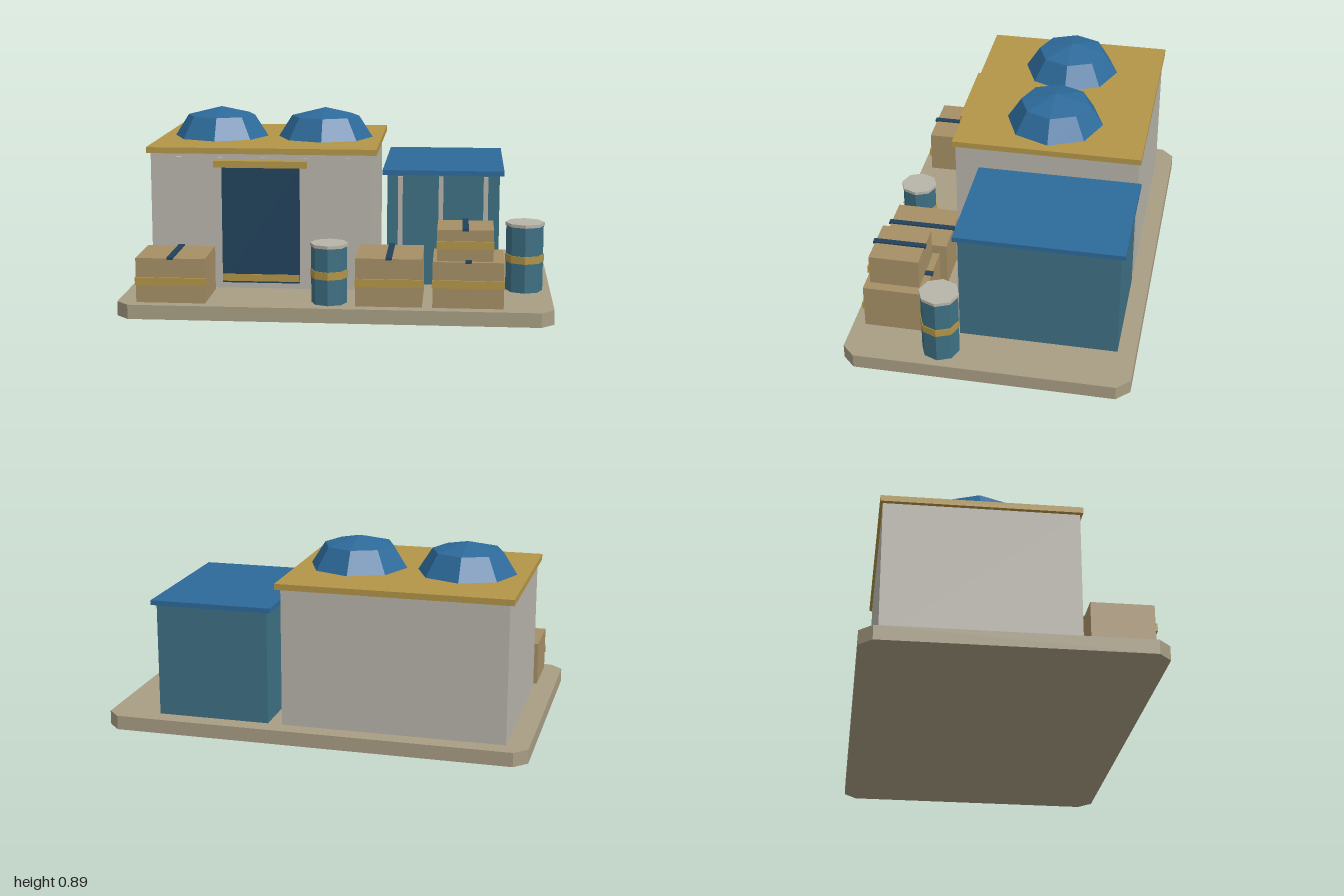
import * as THREE from 'three';

const mat = (name, color) => {
  const m = new THREE.MeshStandardMaterial({ color });
  m.name = name;
  return m;
};

export function createModel() {
  const root = new THREE.Group();
  root.name = 'depot';
  const sand = mat('sand base', 0xa89e84);
  const stone = mat('pale stone', 0xb7b4aa);
  const gold = mat('ochre gold', 0xb39547);
  const blue = mat('roof blue', 0x2d6a9a);
  const teal = mat('teal wall', 0x3e7083);
  const navy = mat('dark navy', 0x21425c);
  const wood = mat('crate tan', 0xa58f66);

  const add = (parent, name, geometry, material) => {
    const mesh = new THREE.Mesh(geometry, material);
    mesh.name = name;
    parent.add(mesh);
    return mesh;
  };
  // Box given by its min and max on each axis
  const box = (parent, name, material, x0, x1, y0, y1, z0, z1) => {
    const mesh = add(parent, name, new THREE.BoxGeometry(x1 - x0, y1 - y0, z1 - z0), material);
    mesh.position.set((x0 + x1) / 2, (y0 + y1) / 2, (z0 + z1) / 2);
    return mesh;
  };
  // Eight-sided flat-shaded frustum with corners on the axes
  const octagon = (parent, name, material, rTop, rBottom, y0, y1, capped = true) => {
    const g = new THREE.CylinderGeometry(rTop, rBottom, y1 - y0, 8, 1, !capped).toNonIndexed();
    g.computeVertexNormals();
    const mesh = add(parent, name, g, material);
    mesh.position.y = (y0 + y1) / 2;
    return mesh;
  };
  const group = (name, x, z) => {
    const g = new THREE.Group();
    g.name = name;
    g.position.set(x, 0, z);
    root.add(g);
    return g;
  };

  // Ground slab with cut corners
  const floor = 0.067, w = 1, d = 0.665, c = 0.06;
  const outline = new THREE.Shape([
    [-w + c, -d], [w - c, -d], [w, -d + c], [w, d - c],
    [w - c, d], [-w + c, d], [-w, d - c], [-w, -d + c],
  ].map(([x, y]) => new THREE.Vector2(x, y)));
  const slab = new THREE.ExtrudeGeometry(outline, { depth: floor, bevelEnabled: false });
  add(root, 'baseSlab', slab.rotateX(-Math.PI / 2), sand);

  // Main hall with roof and front pilasters
  const hall = group('mainHall', 0, 0);
  box(hall, 'hallWalls', stone, -0.895, 0.152, floor, 0.715, -0.58, 0.3);
  box(hall, 'hallRoof', gold, -0.915, 0.177, 0.715, 0.743, -0.592, 0.311);
  for (let i = 0; i < 5; i++) {
    const x = -0.758 + i * 0.2;
    box(hall, 'hallPilaster', stone, x - 0.011, x + 0.011, 0.08, 0.7, 0.298, 0.318);
  }

  // Doorway
  box(hall, 'door', navy, -0.553, -0.186, 0.1, 0.656, 0.3, 0.329);
  box(hall, 'doorLintel', gold, -0.59, -0.149, 0.655, 0.687, 0.3, 0.345);
  box(hall, 'doorSill', gold, -0.553, -0.186, 0.108, 0.142, 0.3, 0.333);

  // Faceted roof domes
  for (const x of [-0.625, -0.104]) {
    const dome = group('dome', x, -0.14);
    octagon(dome, 'domeSides', blue, 0.167, 0.234, 0.743, 0.848, false);
    octagon(dome, 'domeCap', blue, 0, 0.167, 0.848, 0.889, false);
  }

  // Side annex
  const annex = group('annex', 0, 0);
  box(annex, 'annexWalls', teal, 0.22, 0.755, floor, 0.605, -0.58, 0.158);
  box(annex, 'annexRoof', blue, 0.198, 0.776, 0.604, 0.627, -0.6, 0.178);
  for (const x of [0.283, 0.477, 0.69]) {
    box(annex, 'annexPilaster', stone, x - 0.011, x + 0.011, 0.08, 0.597, 0.156, 0.175);
  }

  // Crates: x range, y range, z range, band height
  const crates = [
    [-0.909, -0.588, floor, 0.275, 0.33, 0.614, 0.168],
    [0.1, 0.403, floor, 0.29, 0.298, 0.608, 0.178],
    [0.45, 0.772, floor, 0.28, 0.32, 0.608, 0.178],
    [0.468, 0.723, 0.28, 0.424, 0.352, 0.586, 0.354],
  ];
  for (const [x0, x1, y0, y1, z0, z1, band] of crates) {
    const crate = group('crate', 0, 0);
    const mid = (x0 + x1) / 2;
    box(crate, 'crateBody', wood, x0, x1, y0, y1, z0, z1);
    box(crate, 'crateBand', gold, x0 - 0.003, x1 + 0.003, band - 0.018, band + 0.018, z1 - 0.002, z1 + 0.008);
    box(crate, 'crateStrap', navy, mid - 0.014, mid + 0.014, y1 - 0.004, y1 + 0.007, z0 - 0.006, z1 + 0.009);
  }

  // Barrels: x, z, top, band height
  for (const [x, z, top, band] of [[-0.025, 0.535, 0.346, 0.205], [0.876, 0.22, 0.395, 0.225]]) {
    const barrel = group('barrel', x, z);
    const r = top > 0.37 ? 0.088 : 0.083;
    octagon(barrel, 'barrelBody', teal, r, r, floor, top - 0.01);
    octagon(barrel, 'barrelBand', gold, r + 0.004, r + 0.004, band - 0.018, band + 0.018);
    octagon(barrel, 'barrelLid', stone, r + 0.005, r + 0.005, top - 0.015, top);
  }

  return root;
}
